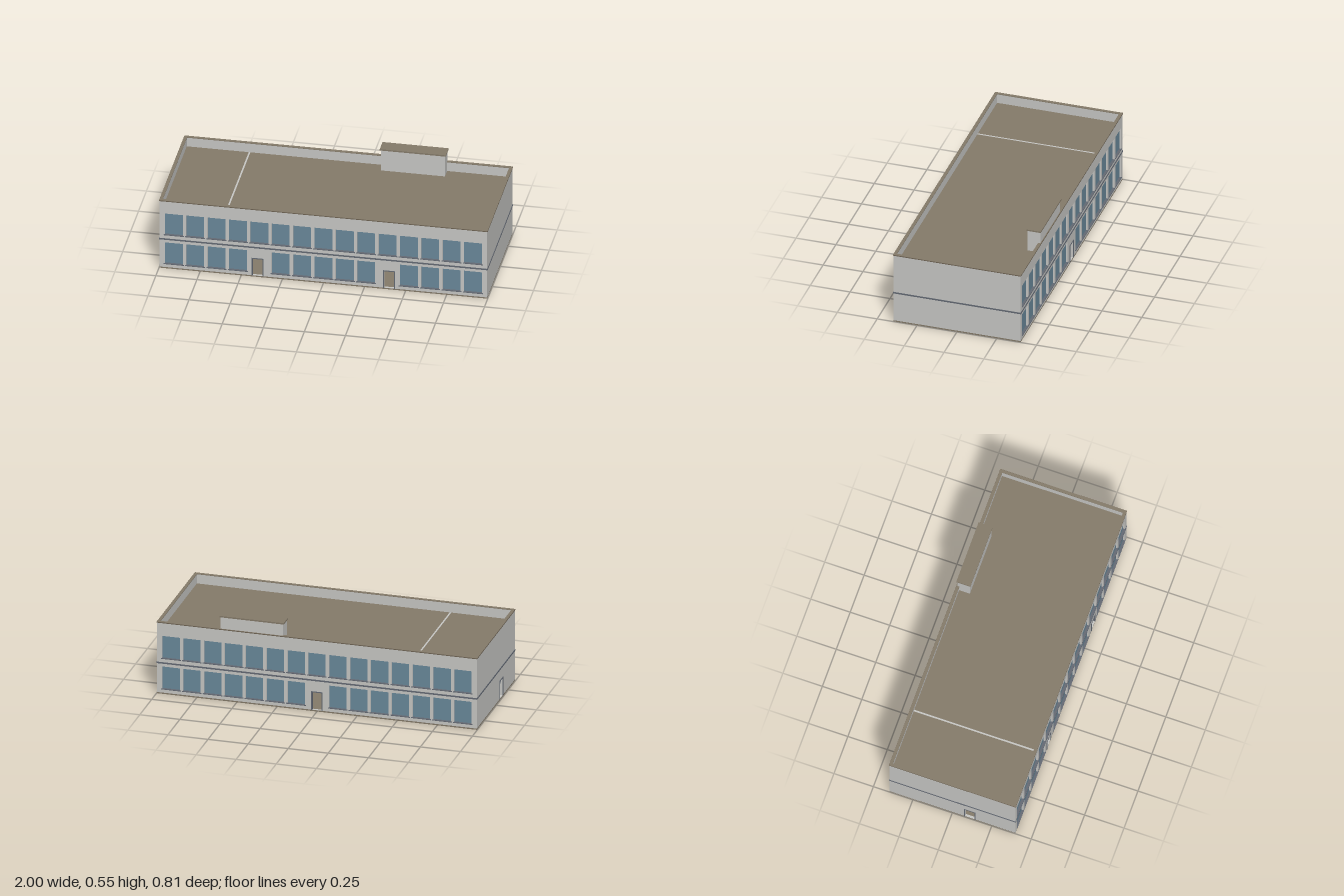
import * as THREE from 'three';

const mat = (name, color) => {
  const m = new THREE.MeshStandardMaterial({ color });
  m.name = name;
  return m;
};

export function createModel() {
  const wallMat = mat('pale grey wall', 0xc8c8c5);
  const roofMat = mat('brown roof', 0x857b6a);
  const glassMat = mat('blue glass', 0x6a899b);
  const trimMat = mat('slate trim', 0x646a74);
  const copingMat = mat('dark brown coping', 0x6e6353);

  const X = 0.997, Z = 0.399, T = 0.015; // outer half sizes, wall thickness
  const BASE = 0.008, TOP = 0.46, ROOF = 0.4;
  const building = new THREE.Group();
  building.name = 'building';

  const add = (parent, name, geometry, material, x = 0, y = 0, z = 0) => {
    const mesh = new THREE.Mesh(geometry, material);
    mesh.name = name;
    mesh.position.set(x, y, z);
    parent.add(mesh);
    return mesh;
  };
  const box = (parent, name, material, w, h, d, x, y, z) =>
    add(parent, name, new THREE.BoxGeometry(w, h, d), material, x, y, z);

  const rect = (path, x0, y0, x1, y1) => {
    path.moveTo(x0, y0);
    path.lineTo(x1, y0);
    path.lineTo(x1, y1);
    path.lineTo(x0, y1);
    path.closePath();
    return path;
  };

  // Horizontal band running round the building
  const ring = (name, material, out, inset, y0, y1) => {
    const shape = rect(new THREE.Shape(), -X - out, -Z - out, X + out, Z + out);
    shape.holes.push(rect(new THREE.Path(), -X + inset, -Z + inset, X - inset, Z - inset));
    const geo = new THREE.ExtrudeGeometry(shape, { depth: y1 - y0, bevelEnabled: false });
    geo.rotateX(-Math.PI / 2);
    add(building, name, geo, material, 0, y0, 0);
  };

  // Wall facing local +z with real openings, glass, sills and door frames
  const wall = (name, width, angle, distance, columns, doors) => {
    const group = new THREE.Group();
    group.name = name;
    group.rotation.y = angle;
    group.position.set(Math.sin(angle) * distance, 0, Math.cos(angle) * distance);
    building.add(group);

    const shape = rect(new THREE.Shape(), -width / 2, BASE, width / 2, TOP);
    const W = 0.11, H = 0.144;
    for (const y of [0.033, 0.231]) {
      for (let i = 0; i < columns; i++) {
        const x = (i - (columns - 1) / 2) * 0.13;
        if (y < 0.2 && doors.some((d) => Math.abs(d - x) < 0.06)) continue;
        shape.holes.push(rect(new THREE.Path(), x - W / 2, y, x + W / 2, y + H));
        box(group, 'windowPane', glassMat, W, H, 0.003, x, y + H / 2, -T + 0.003);
        box(group, 'windowSill', trimMat, W + 0.012, 0.005, T + 0.002, x, y - 0.001, -T / 2 + 0.003);
      }
    }
    for (const x of doors) {
      const w = 0.06, h = 0.128, f = 0.006;
      shape.holes.push(rect(new THREE.Path(), x - w / 2, BASE + 0.001, x + w / 2, h - f));
      for (const s of [-1, 1]) {
        box(group, 'doorJamb', trimMat, f, h - BASE, T + 0.003, x + s * (w + f) / 2, (h + BASE) / 2, -T / 2 + 0.001);
      }
      box(group, 'doorHead', trimMat, w, f, T + 0.003, x, h - f / 2, -T / 2 + 0.001);
    }
    const geo = new THREE.ExtrudeGeometry(shape, { depth: T, bevelEnabled: false });
    add(group, 'wallPanel', geo, wallMat, 0, 0, -T);
  };

  wall('frontWall', 2 * X, 0, Z, 15, [-0.4, 0.4]);
  wall('backWall', 2 * X, Math.PI, Z, 15, [0]);
  wall('leftWall', 2 * (Z - T), Math.PI / 2, X, 0, []);
  wall('rightWall', 2 * (Z - T), -Math.PI / 2, X, 0, [0.11]);

  // Floors, roof deck and the partition that shows through the roof
  const innerW = 2 * (X - T), innerD = 2 * (Z - T);
  box(building, 'groundSlab', roofMat, 2 * X, BASE, 2 * Z, 0, BASE / 2, 0);
  box(building, 'upperFloor', wallMat, innerW, 0.01, innerD, 0, 0.2, 0);
  box(building, 'roofDeck', roofMat, innerW, 0.01, innerD, 0, ROOF - 0.005, 0);
  box(building, 'partitionWall', wallMat, 0.01, ROOF + 0.001 - BASE, innerD, -0.6, (ROOF + 0.001 + BASE) / 2, 0);

  // Storey belt and parapet coping
  ring('storeyBelt', trimMat, 0.003, 0.002, 0.196, 0.205);
  ring('parapetCoping', roofMat, 0.002, T + 0.002, TOP, TOP + 0.004);
  ring('copingEdge', copingMat, 0.003, 0.001, TOP - 0.002, TOP + 0.003);

  // Rooftop housing with an overhanging cap
  const housing = new THREE.Group();
  housing.name = 'roofHousing';
  housing.position.set(0.407, 0, -0.356);
  building.add(housing);
  box(housing, 'housingBody', wallMat, 0.39, 0.54 - ROOF, 0.08, 0, (0.54 + ROOF) / 2, 0);
  box(housing, 'housingCap', roofMat, 0.402, 0.009, 0.089, 0, 0.543, 0);

  return building;
}
